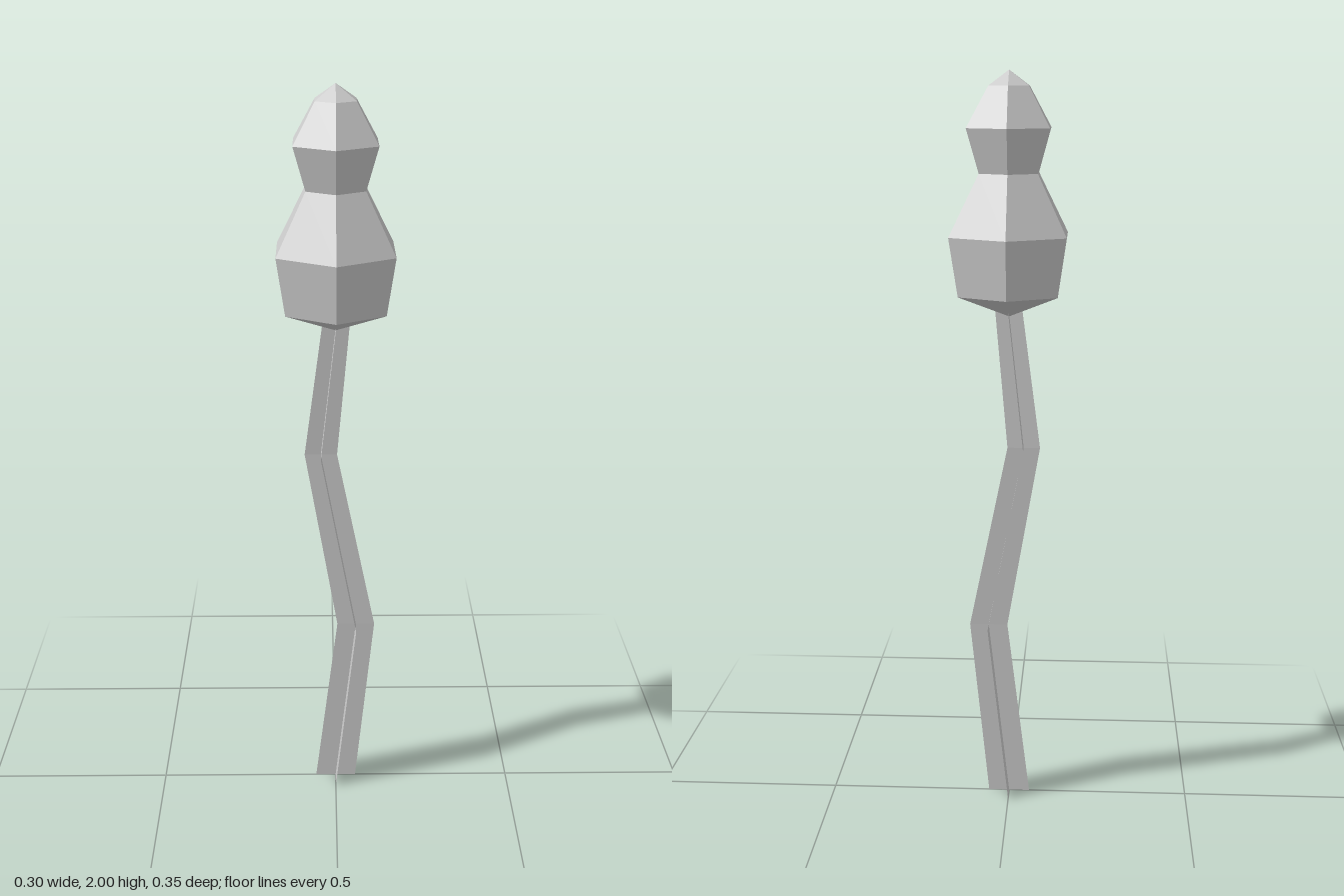
import * as THREE from 'three';

// Bent stem path: [centre x, y, centre z, half width]
const STEM = [
  [0, 0, 0, 0.057],
  [0.057, 0.5, 0, 0.052],
  [-0.04, 1.01, -0.013, 0.044],
  [0.002, 1.39, 0, 0.036],
];

// Bulb profile: [radius, y]
const BULB = [
  [0, 1.365], [0.15, 1.425], [0.176, 1.58], [0.088, 1.74],
  [0.124, 1.855], [0.06, 1.96], [0, 2],
];

// Ribbon that follows the stem path and widens along x or z
function stemBlade(dx, dz, material) {
  const positions = [];
  const index = [];
  STEM.forEach(([x, y, z, w], i) => {
    positions.push(x - dx * w, y, z - dz * w, x + dx * w, y, z + dz * w);
    if (i > 0) {
      const a = 2 * (i - 1);
      index.push(a, a + 1, a + 3, a, a + 3, a + 2);
    }
  });
  const geometry = new THREE.BufferGeometry();
  geometry.setAttribute('position', new THREE.Float32BufferAttribute(positions, 3));
  geometry.setIndex(index);
  geometry.computeVertexNormals();
  return new THREE.Mesh(geometry, material);
}

export function createModel() {
  const model = new THREE.Group();
  model.name = 'budOnStem';

  // Two crossed thin blades form the stem
  const bladeMaterial = new THREE.MeshStandardMaterial({
    color: 0xcccccc, flatShading: true, side: THREE.DoubleSide,
  });
  const stem = new THREE.Group();
  stem.name = 'stem';
  const wide = stemBlade(1, 0, bladeMaterial);
  wide.name = 'stemBladeAcross';
  const deep = stemBlade(0, 1, bladeMaterial);
  deep.name = 'stemBladeDeep';
  stem.add(wide, deep);

  // Six-sided bud with a pinched neck
  const bud = new THREE.Mesh(
    new THREE.LatheGeometry(BULB.map(([r, y]) => new THREE.Vector2(r, y)), 6),
    new THREE.MeshStandardMaterial({ color: 0xcccccc, flatShading: true }),
  );
  bud.name = 'bud';

  model.add(stem, bud);
  return model;
}
